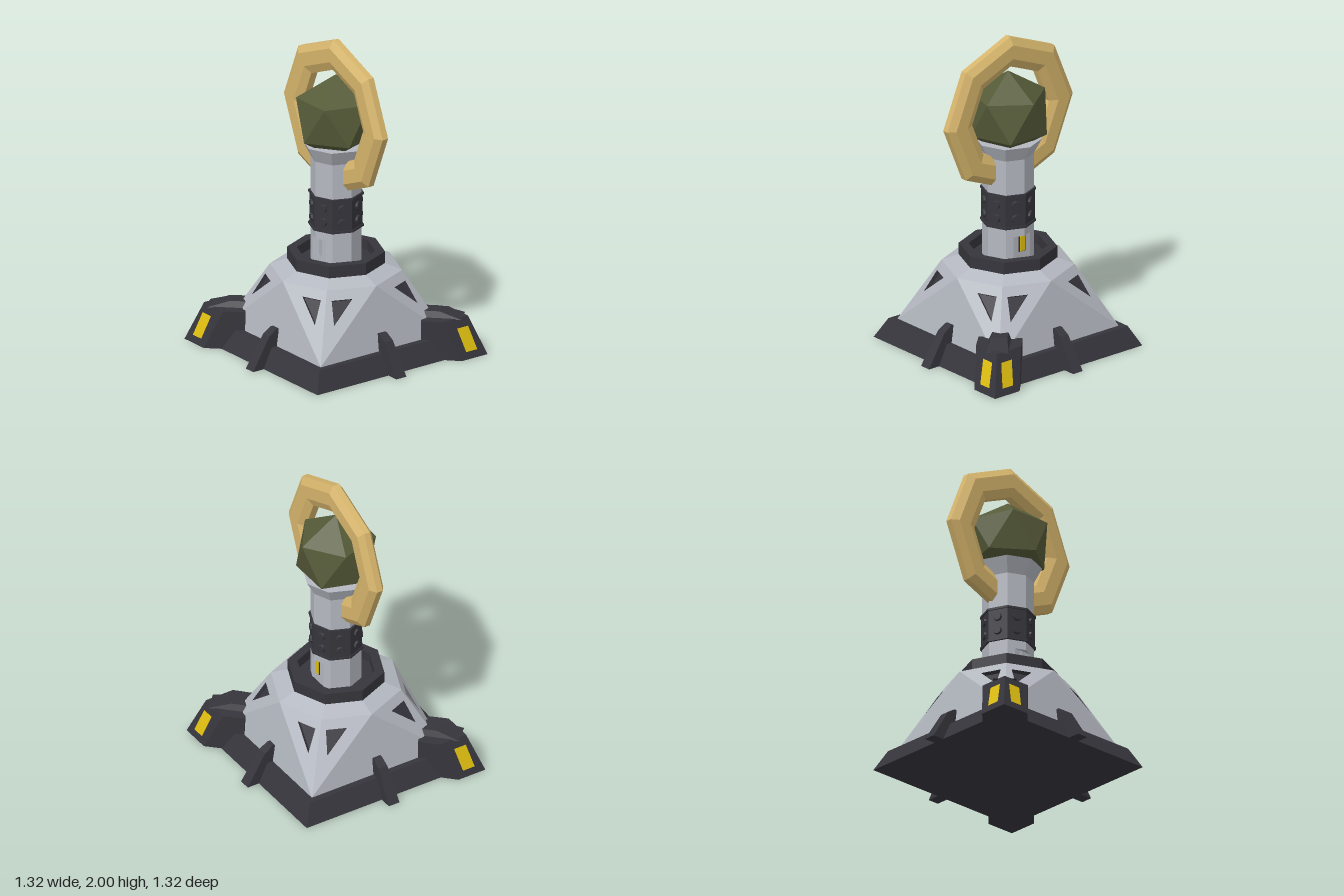
import * as THREE from 'three';
import { ConvexGeometry } from 'three/addons/geometries/ConvexGeometry.js';

const mat = (name, color) => Object.assign(new THREE.MeshStandardMaterial({ color }), { name });
const V = (x, y, z) => new THREE.Vector3(x, y, z);

// Geometry with flat faces from a list of corner triples
function facets(tris) {
  const g = new THREE.BufferGeometry().setFromPoints(tris.flat());
  g.computeVertexNormals();
  return g;
}

// Give a built-in geometry flat faces
function flat(g) {
  const f = g.index ? g.toNonIndexed() : g;
  f.computeVertexNormals();
  return f;
}

// Capped solid through horizontal outlines; each level is [y, [[x, z], ...]]
function loft(levels) {
  const loops = levels.map(([y, pts]) => pts.map(([x, z]) => V(x, y, z)));
  const n = loops[0].length, last = loops[loops.length - 1], tris = [];
  for (let k = 0; k < loops.length - 1; k++) {
    for (let i = 0; i < n; i++) {
      const j = (i + 1) % n, b = loops[k], t = loops[k + 1];
      tris.push([b[i], t[i], b[j]], [b[j], t[i], t[j]]);
    }
  }
  for (let i = 1; i < n - 1; i++) {
    tris.push([loops[0][0], loops[0][i], loops[0][i + 1]], [last[0], last[i + 1], last[i]]);
  }
  return facets(tris);
}

const rect = (x0, x1, w) => [[x1, -w], [x1, w], [x0, w], [x0, -w]];
const square = s => rect(-s, s, s);

export function createModel() {
  const grey = mat('light grey metal', 0xb4b8c0);
  const dark = mat('charcoal metal', 0x36353c);
  const gold = mat('gold', 0xd6b56c);
  const green = mat('olive crystal', 0x555a38);
  const yellow = mat('yellow light', 0xe0c010);

  const model = new THREE.Group();
  model.name = 'beaconTower';
  const add = (name, geo, material, parent = model) => {
    const m = new THREE.Mesh(geo, material);
    m.name = name;
    parent.add(m);
    return m;
  };
  const oct = (r0, r1, y0, y1) => flat(new THREE.CylinderGeometry(r1, r0, y1 - y0, 8).translate(0, (y0 + y1) / 2, 0));

  // Square foundation
  add('foundation', loft([[0, square(0.578)], [0.125, square(0.515)]]), dark);

  // Faceted hull from square to octagon, with recessed triangular vents
  const hull = [], vents = [];
  const ventFacet = (corners, weights) => {
    const [a, b, c] = corners;
    const normal = b.clone().sub(a).cross(c.clone().sub(a)).normalize();
    const rim = weights.map(w => V(0, 0, 0).addScaledVector(a, w[0]).addScaledVector(b, w[1]).addScaledVector(c, w[2]));
    const floor = rim.map(p => p.clone().addScaledVector(normal, -0.025));
    for (let i = 0; i < 3; i++) {
      const j = (i + 1) % 3;
      hull.push([corners[i], corners[j], rim[j]], [corners[i], rim[j], rim[i]]);
      vents.push([rim[i], rim[j], floor[j]], [rim[i], floor[j], floor[i]]);
    }
    vents.push(floor);
  };
  const s = 0.476, r = 0.405, d = r * Math.SQRT1_2;
  for (let k = 0; k < 4; k++) {
    const turn = (x, y, z) => V(x, y, z).applyAxisAngle(V(0, 1, 0), k * Math.PI / 2);
    const c0 = turn(s, 0.125, -s), c = turn(s, 0.125, s);
    const a = turn(r, 0.52, 0), m = turn(d, 0.52, d), a2 = turn(0, 0.52, r);
    hull.push([c0, a, c]);
    ventFacet([c, a, m], [[0.474, 0.206, 0.32], [0.14, 0.534, 0.326], [0.14, 0.115, 0.745]]);
    ventFacet([c, m, a2], [[0.474, 0.32, 0.206], [0.14, 0.745, 0.115], [0.14, 0.326, 0.534]]);
  }
  add('hull', facets(hull), grey);
  add('hullVents', facets(vents), dark);
  add('hullShoulder', oct(r, 0.3, 0.52, 0.56), grey);

  // Hollow collar
  const collar = [[0.3, 0.555], [0.3, 0.635], [0.24, 0.635], [0.24, 0.57], [0.1, 0.57]];
  add('collar', flat(new THREE.LatheGeometry(collar.map(p => new THREE.Vector2(...p)), 8)), dark);

  // Ribs in the middle of each side
  for (let k = 0; k < 4; k++) {
    add('rib', loft([
      [0, rect(0.42, 0.658, 0.038)], [0.2, rect(0.42, 0.53, 0.031)], [0.235, rect(0.42, 0.475, 0.028)],
    ]), dark).rotation.y = k * Math.PI / 2;
  }

  // Two opposite corner buttresses with lit windows
  const footprint = c => [[c, c - 0.194], [c, c], [c - 0.194, c], [0.286, 0.475], [0.475, 0.286]];
  const spine = (d0, d1, w) => rect(d0, d1, w).map(([p, q]) => [(p - q) * Math.SQRT1_2, (p + q) * Math.SQRT1_2]);
  const faceZ = y => 0.656 - 0.085 * y / 0.245 + 0.004;
  const win = [[0.471, 0.19], [0.503, 0.045], [0.587, 0.045], [0.555, 0.19]].map(([x, y]) => V(x, y, faceZ(y)));
  const swapped = win.map(p => V(p.z, p.y, p.x)).reverse();
  for (const side of [0, 1]) {
    const buttress = new THREE.Group();
    buttress.name = 'cornerButtress';
    buttress.rotation.y = side * Math.PI;
    model.add(buttress);
    add('buttressBody', loft([[0, footprint(0.656)], [0.245, footprint(0.571)]]), dark, buttress);
    add('buttressSpine', loft([[0.24, spine(0.48, 0.78, 0.07)], [0.282, spine(0.48, 0.64, 0.05)]]), dark, buttress);
    for (const q of [win, swapped]) {
      add('buttressWindow', facets([[q[0], q[1], q[2]], [q[0], q[2], q[3]]]), yellow, buttress);
    }
  }

  // Column: notched foot, shaft and flared crown
  const R = 0.157, e = R * Math.SQRT1_2;
  const foot = [[0.13, -0.065], [0.13, 0.065], [e, e], [0, R], [-e, e],
    [-0.13, 0.065], [-0.13, -0.065], [-e, -e], [0, -R], [e, -e]];
  add('columnFoot', loft([[0.56, foot], [0.74, foot]]), grey);
  add('columnShaft', oct(R, R, 0.74, 1.24), grey);
  add('columnCrown', oct(R, 0.207, 1.24, 1.335), grey);

  // Slots in the column notches
  for (const [x, m] of [[0.132, yellow], [-0.132, grey]]) {
    add('slotFrame', new THREE.BoxGeometry(0.006, 0.105, 0.05).translate(x, 0.685, 0), x > 0 ? dark : grey);
    add('slotLight', new THREE.BoxGeometry(0.009, 0.098, 0.036).translate(x * 1.02, 0.685, 0), m);
  }

  // Riveted band
  add('band', oct(0.163, 0.163, 0.795, 1.015), dark);
  for (const y of [0.795, 1.002]) add('bandTrim', oct(0.17, 0.17, y, y + 0.014), dark);
  for (let k = 0; k < 8; k++) {
    for (const y of [0.86, 0.95]) {
      const rivet = flat(new THREE.CylinderGeometry(0.023, 0.028, 0.014, 8).rotateX(Math.PI / 2).translate(0, y, 0.156));
      add('rivet', rivet, dark).rotation.y = (k + 0.5) * Math.PI / 4;
    }
  }

  // Eight-sided ring running into the column
  const section = [[0.497, -0.02], [0.497, 0.02], [0.45, 0.05], [0.36, 0.05], [0.305, 0.025],
    [0.305, -0.025], [0.36, -0.05], [0.45, -0.05], [0.497, -0.02]];
  const ring = new THREE.LatheGeometry(section.map(p => new THREE.Vector2(...p)), 8);
  add('ring', flat(ring.rotateZ(Math.PI / 2).translate(0, 1.503, 0)), gold);

  // Icosahedral crystal standing on a vertex
  const tips = [V(0, 0.272, 0), V(0, -0.272, 0)];
  for (let k = 0; k < 5; k++) {
    const a = k * Math.PI * 0.4, x = 0.243 * Math.cos(a), z = 0.243 * Math.sin(a);
    tips.push(V(x, 0.122, z), V(-x, -0.122, -z));
  }
  add('crystal', new ConvexGeometry(tips).translate(0, 1.502, 0), green);

  return model;
}
